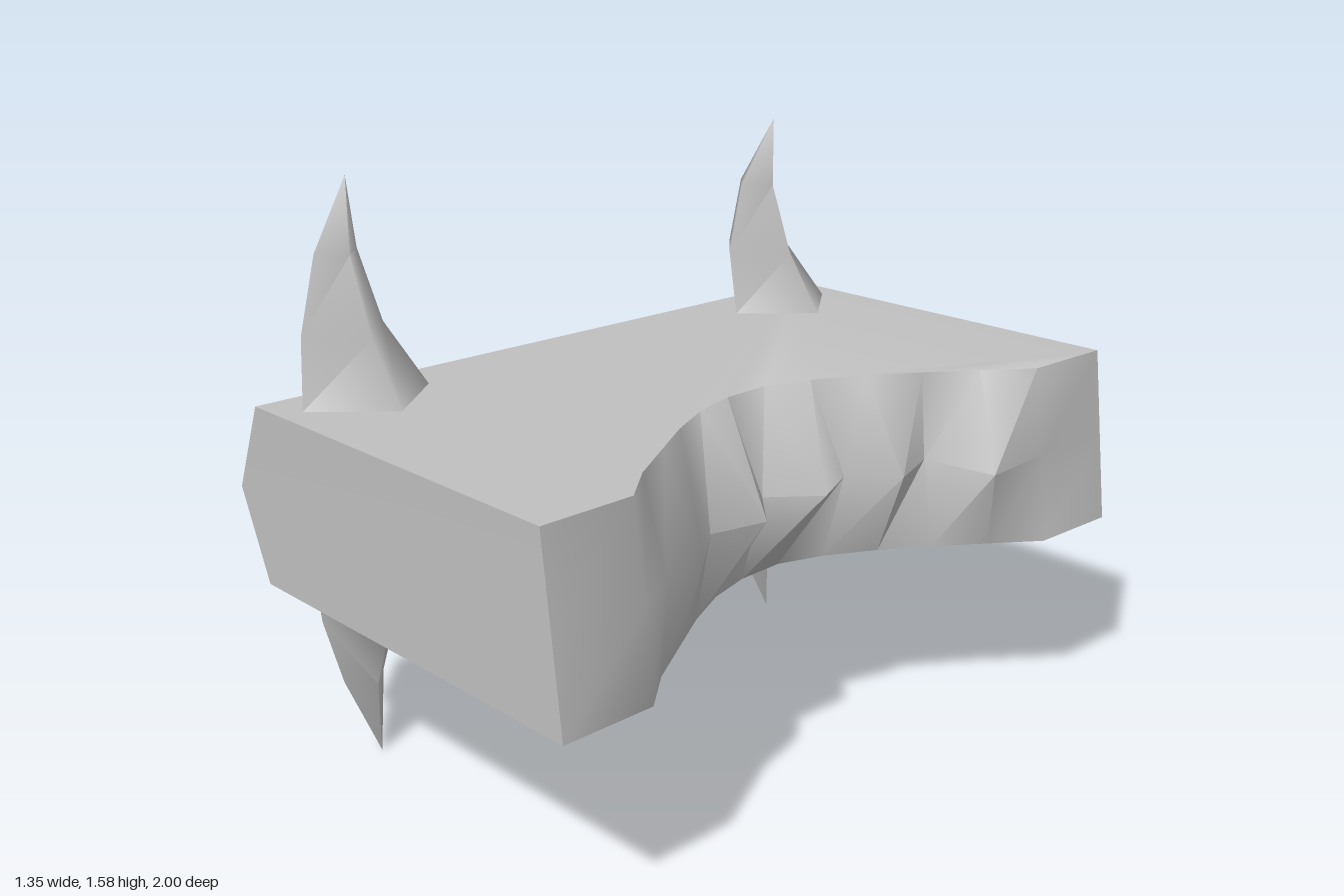
import * as THREE from 'three';
import { toCreasedNormals } from 'three/addons/utils/BufferGeometryUtils.js';

const BOTTOM = 0.54, MIDDLE = 0.78, TOP = 1.02;

// Notched edge, front to back: [z, x at the top rim, x and z of the ragged middle]
const EDGE = [
  [0.97, 0.61, 0.64, 0.97], [0.71, 0.60, 0.64, 0.71], [0.60, 0.50, 0.58, 0.60],
  [0.45, 0.40, 0.54, 0.45], [0.33, 0.32, 0.43, 0.33], [0.20, 0.25, 0.46, 0.17],
  [0.07, 0.21, 0.33, 0.06], [-0.07, 0.20, 0.43, -0.07], [-0.20, 0.24, 0.36, -0.21],
  [-0.34, 0.31, 0.47, -0.32], [-0.47, 0.39, 0.41, -0.47], [-0.60, 0.48, 0.62, -0.51],
  [-0.73, 0.57, 0.60, -0.74], [-1.0, 0.57, 0.60, -1.0],
];

function indexedGeometry(positions, index) {
  const g = new THREE.BufferGeometry();
  g.setAttribute('position', new THREE.Float32BufferAttribute(positions, 3));
  g.setIndex(index);
  return g;
}

// Joins stacked rings of n points, ordered counter-clockwise seen from above
function joinRings(n, levels, index) {
  for (let l = 0; l < levels - 1; l++) {
    for (let i = 0; i < n; i++) {
      const a = l * n + i, b = l * n + (i + 1) % n;
      index.push(a, b, b + n, a, b + n, a + n);
    }
  }
}

// Slab with a wedge along the straight edge and a ragged bite opposite
function slabGeometry() {
  const rings = [
    [...EDGE.map(([z, x]) => [x + 0.06, BOTTOM, z]), [-0.57, BOTTOM, -0.97], [-0.52, BOTTOM, 1]],
    [...EDGE.map(([, , x, z]) => [x, MIDDLE, z]), [-0.68, MIDDLE, -0.97], [-0.63, MIDDLE, 1]],
    [...EDGE.map(([z, x]) => [x, TOP, z]), [-0.57, TOP, -0.97], [-0.52, TOP, 1]],
  ];
  const n = rings[0].length, index = [];
  joinRings(n, 3, index);
  const cap = (ring) => THREE.ShapeUtils.triangulateShape(
    ring.map(([x, , z]) => new THREE.Vector2(x, -z)), []);
  for (const [a, b, c] of cap(rings[0])) index.push(c, b, a);
  for (const [a, b, c] of cap(rings[2])) index.push(a + 2 * n, b + 2 * n, c + 2 * n);
  return toCreasedNormals(indexedGeometry(rings.flat(2), index), 1.0);
}

// Curved four-sided horn; direction 1 points up, -1 points down
function hornGeometry(direction) {
  // [height from the slab centre, outer x, inner x, half depth, x of the side corners]
  const sections = [
    [0.18, -0.545, -0.21, 0.205, -0.385], [0.23, -0.56, -0.24, 0.185, -0.40],
    [0.39, -0.63, -0.36, 0.12, -0.50], [0.59, -0.58, -0.44, 0.062, -0.51],
  ];
  const positions = [], index = [];
  for (const [h, outer, inner, d, side] of sections) {
    const y = 0.79 + direction * h;
    positions.push(inner, y, 0, side, y, -d, outer, y, 0, side, y, d);
  }
  positions.push(-0.44, 0.79 + direction * 0.79, 0);
  joinRings(4, sections.length, index);
  const last = (sections.length - 1) * 4;
  for (let i = 0; i < 4; i++) index.push(last + i, last + (i + 1) % 4, last + 4);
  index.push(0, 2, 1, 0, 3, 2);
  if (direction < 0) index.reverse();
  return toCreasedNormals(indexedGeometry(positions, index), 1.7);
}

export function createModel() {
  const model = new THREE.Group();
  model.name = 'hornedSlab';
  const stone = new THREE.MeshStandardMaterial({ color: 0xc0c0c0 });
  stone.name = 'light grey';

  const slab = new THREE.Mesh(slabGeometry(), stone);
  slab.name = 'notchedSlab';
  model.add(slab);

  // Four horns: two above and two below
  for (const [direction, level] of [[1, 'upper'], [-1, 'lower']]) {
    const geometry = hornGeometry(direction);
    for (const [z, end] of [[0.75, 'Front'], [-0.72, 'Back']]) {
      const horn = new THREE.Mesh(geometry, stone);
      horn.name = level + end + 'Horn';
      horn.position.z = z;
      model.add(horn);
    }
  }
  return model;
}
